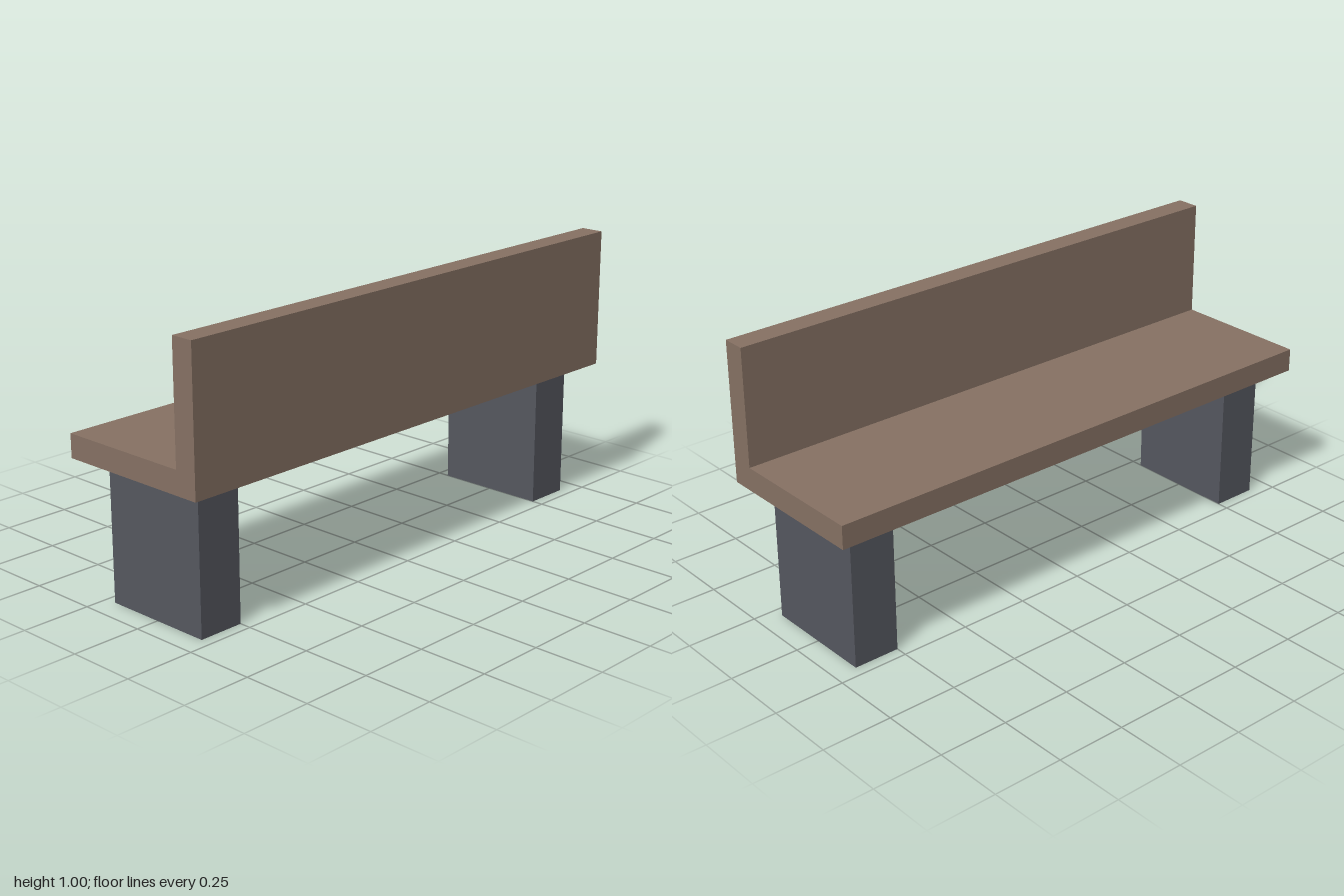
import * as THREE from 'three';

export function createModel() {
  const bench = new THREE.Group();
  bench.name = 'bench';

  const wood = new THREE.MeshStandardMaterial({ color: 0x877264 });
  wood.name = 'brown wood';
  const stone = new THREE.MeshStandardMaterial({ color: 0x565860 });
  stone.name = 'dark grey stone';

  // Seat and backrest: one L-shaped section run along the length
  const halfDepth = 0.2917, thickness = 0.0833, seatBottom = 0.5, top = 1, length = 2;
  const section = new THREE.Shape([
    [-halfDepth, seatBottom],
    [halfDepth, seatBottom],
    [halfDepth, seatBottom + thickness],
    [-halfDepth + thickness, seatBottom + thickness],
    [-halfDepth + thickness, top],
    [-halfDepth, top],
  ].map(([x, y]) => new THREE.Vector2(x, y)));
  const seatGeometry = new THREE.ExtrudeGeometry(section, { depth: length, bevelEnabled: false });
  seatGeometry.translate(0, 0, -length / 2);
  seatGeometry.rotateY(Math.PI / 2); // backrest ends up at +z
  const seat = new THREE.Mesh(seatGeometry, wood);
  seat.name = 'seatAndBackrest';
  bench.add(seat);

  // Block legs, mirrored left and right
  const legGeometry = new THREE.BoxGeometry(0.1667, seatBottom, 0.4167);
  for (const [name, side] of [['leftLeg', 1], ['rightLeg', -1]]) {
    const leg = new THREE.Mesh(legGeometry, stone);
    leg.name = name;
    leg.position.set(side * 0.8333, seatBottom / 2, 0);
    bench.add(leg);
  }

  return bench;
}
